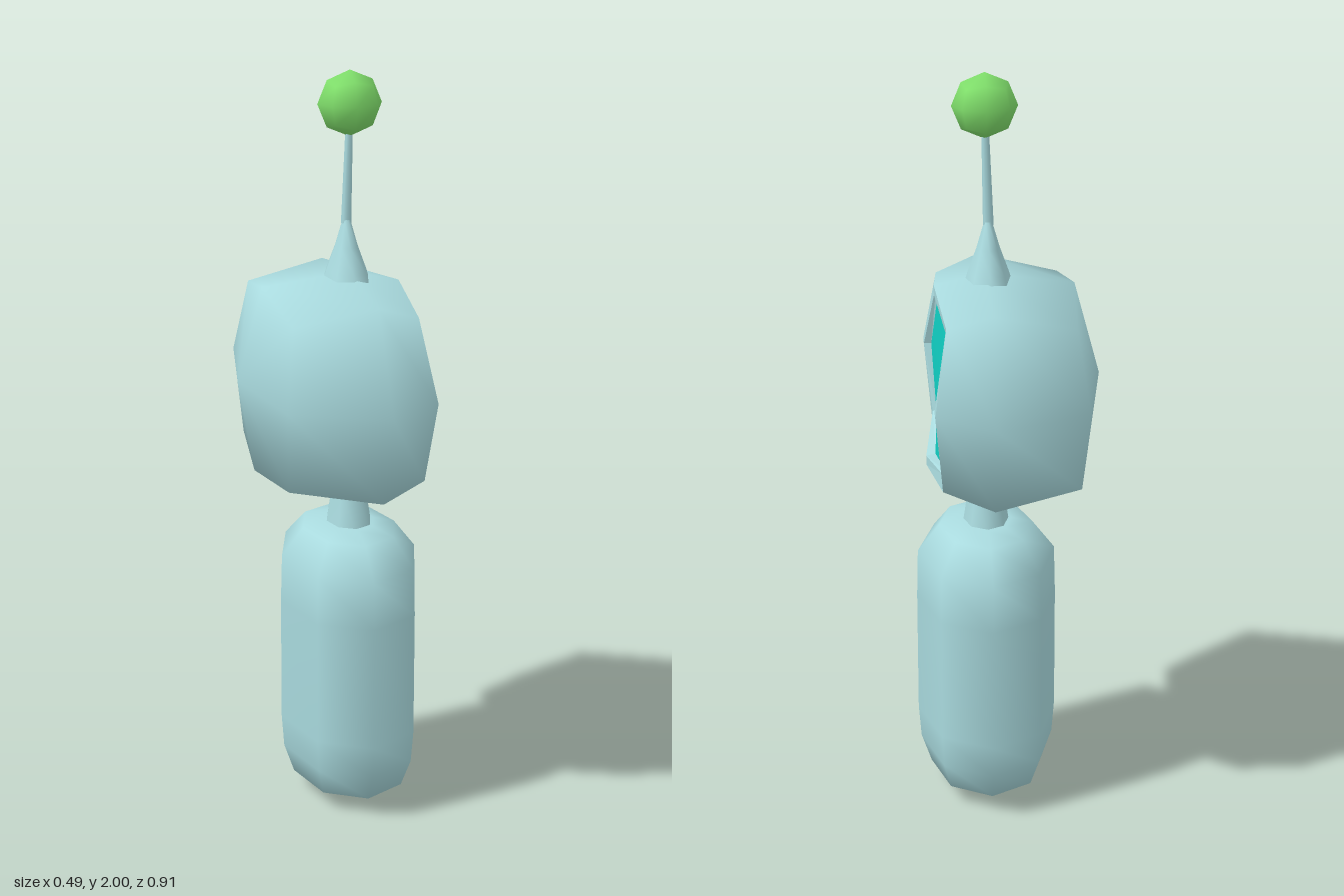
import * as THREE from 'three';
import { mergeVertices } from 'three/addons/utils/BufferGeometryUtils.js';

const CX = 0.055; // axis shared by body, neck, antenna and ball

// Half outline (top, upper side, side, lower side, bottom) mirrored to a closed ring of eight
function ring(half) {
  const mirrored = [half[3], half[2], half[1]].map(([x, y, z]) => [x, y, -z]);
  return [...half, ...mirrored];
}
const point = (x, y, z) => Array(8).fill([x, y, z]);

// Skin consecutive rings that run from the back (-x) to the front (+x)
function loft(rings, smooth) {
  const pos = [];
  const tri = (...p) => {
    const [a, b, c] = p.map(v => new THREE.Vector3(...v));
    if (b.sub(a).cross(c.sub(a)).length() > 1e-9) pos.push(...p.flat());
  };
  for (let i = 0; i < rings.length - 1; i++) {
    for (let j = 0; j < 8; j++) {
      const k = (j + 1) % 8;
      const a = rings[i][j], b = rings[i][k], c = rings[i + 1][k], d = rings[i + 1][j];
      tri(a, b, c);
      tri(a, c, d);
    }
  }
  let geo = new THREE.BufferGeometry();
  geo.setAttribute('position', new THREE.Float32BufferAttribute(pos, 3));
  if (smooth) geo = mergeVertices(geo, 1e-4);
  geo.computeVertexNormals();
  return geo;
}

export function createModel() {
  const group = new THREE.Group();
  const material = (name, color) => {
    const m = new THREE.MeshStandardMaterial({ color });
    m.name = name;
    return m;
  };
  const shell = material('pale blue shell', 0xa9dade);
  const teal = material('teal screen', 0x10d0c4);
  const green = material('green ball', 0x80df6b);
  const add = (name, geo, mat) => {
    const mesh = new THREE.Mesh(geo, mat);
    mesh.name = name;
    group.add(mesh);
    return mesh;
  };
  // Eight-sided turned part, squeezed to an oval; profile is [radius along z, height]
  const turned = (name, profile, squeeze) => {
    const geo = new THREE.LatheGeometry(profile.map(p => new THREE.Vector2(...p)), 8);
    geo.scale(squeeze, 1, 1);
    geo.translate(CX, 0, 0);
    return add(name, geo, shell);
  };

  // Capsule-like body
  turned('body', [
    [0, 0], [0.13, 0.015], [0.225, 0.05], [0.265, 0.13], [0.275, 0.22],
    [0.275, 0.56], [0.27, 0.69], [0.185, 0.765], [0.1, 0.78], [0, 0.785],
  ], 0.69);

  // Neck
  turned('neck', [[0.092, 0.76], [0.065, 0.88], [0.06, 0.92]], 0.7);

  // Head shell: back centre, back ring, widest ring, front ring
  const front = ring([[0.19, 1.44, 0], [0.172, 1.40, 0.26], [0.205, 1.19, 0.335], [0.185, 0.97, 0.285], [0.215, 0.94, 0]]);
  const lip = ring([[0.19, 1.415, 0], [0.172, 1.38, 0.225], [0.205, 1.19, 0.29], [0.185, 1.005, 0.245], [0.215, 0.965, 0]]);
  const recess = ring([[0.172, 1.41, 0], [0.165, 1.375, 0.22], [0.185, 1.19, 0.285], [0.175, 1.01, 0.24], [0.19, 0.97, 0]]);
  const middle = ring([[CX, 1.47, 0], [CX, 1.44, 0.3], [CX, 1.19, 0.455], [CX, 0.94, 0.36], [CX, 0.87, 0]]);
  const back = ring([[-0.18, 1.44, 0], [-0.16, 1.395, 0.27], [-0.19, 1.19, 0.335], [-0.175, 0.965, 0.28], [-0.205, 0.94, 0]]);
  add('head', loft([point(-0.248, 1.19, 0), back, middle, front], true), shell);

  // Rim around the recessed screen
  add('screenRim', loft([front, lip, recess], false), shell);
  add('screen', loft([recess, point(0.182, 1.19, 0)], true), teal);

  // Antenna: flared foot and a thin rod
  turned('antennaFoot', [[0.1, 1.43], [0.08, 1.475], [0.045, 1.54], [0.015, 1.61]], 0.68).position.x = -0.008;
  const rod = new THREE.CylinderGeometry(0.01, 0.014, 0.25, 8);
  rod.rotateZ(-0.03);
  rod.translate(0.05, 1.725, 0);
  add('antennaRod', rod, shell);

  // Ball: a subdivided cube pushed out to a sphere
  let ball = new THREE.BoxGeometry(1, 1, 1, 2, 2, 2);
  ball.deleteAttribute('uv');
  ball.deleteAttribute('normal');
  ball = mergeVertices(ball);
  const p = ball.attributes.position;
  const v = new THREE.Vector3();
  for (let i = 0; i < p.count; i++) {
    v.fromBufferAttribute(p, i).setLength(0.086);
    p.setXYZ(i, v.x, v.y, v.z);
  }
  ball.computeVertexNormals();
  ball.translate(CX, 1.914, 0);
  add('antennaBall', ball, green);

  return group;
}
